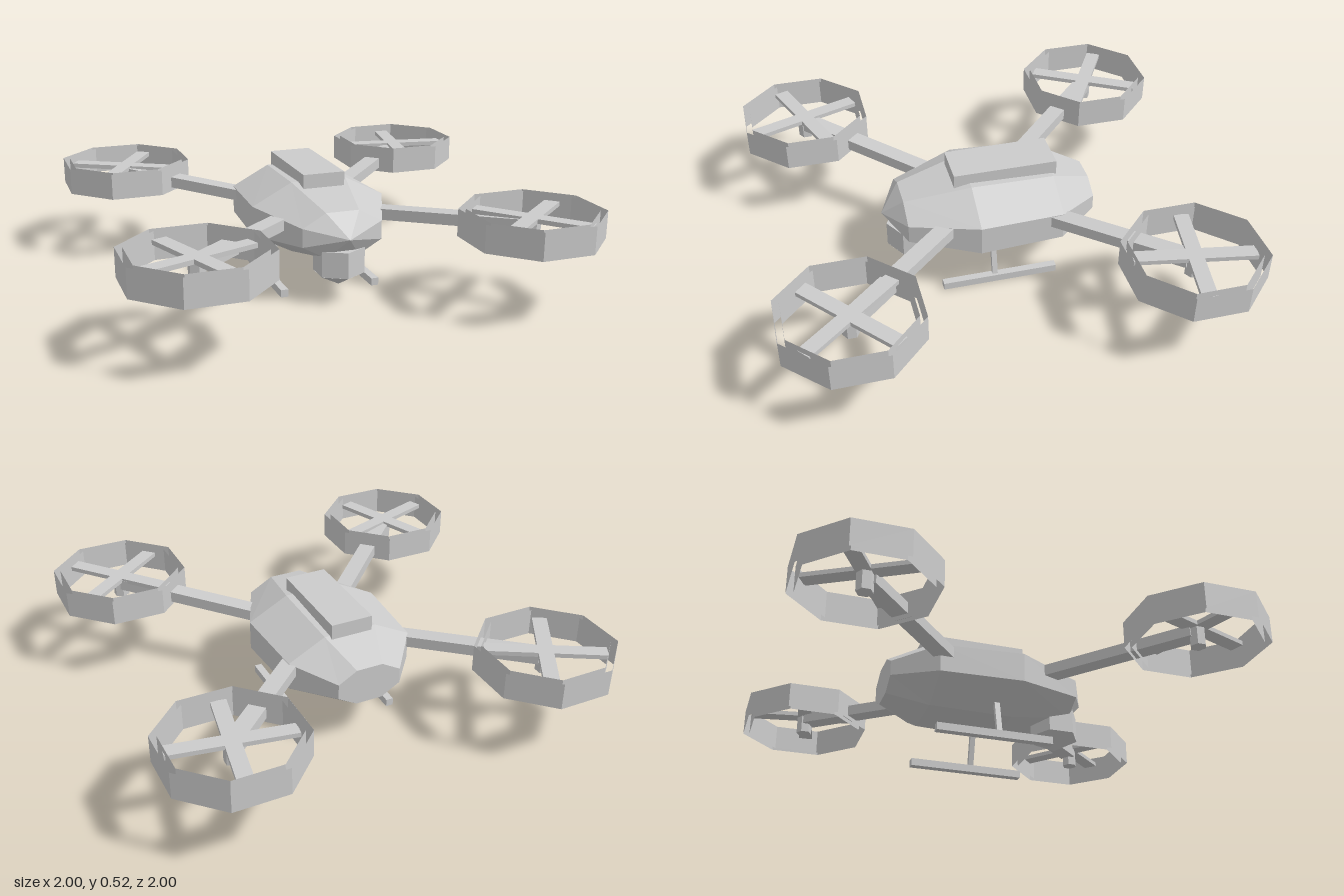
import * as THREE from 'three';

const material = new THREE.MeshStandardMaterial({ color: 0xcccccc, flatShading: true });
const thin = new THREE.MeshStandardMaterial({ color: 0xcccccc, flatShading: true, side: THREE.DoubleSide });

function part(name, geometry, x = 0, y = 0, z = 0, mat = material) {
  const mesh = new THREE.Mesh(geometry, mat);
  mesh.name = name;
  mesh.position.set(x, y, z);
  return mesh;
}

// Box running between two points
function beam(name, from, to, width, height) {
  const mesh = part(name, new THREE.BoxGeometry(width, height, from.distanceTo(to)));
  mesh.position.copy(from).add(to).multiplyScalar(0.5);
  mesh.lookAt(to);
  return mesh;
}

// Octagonal hull lofted through sections [z, half width, half height, centre y]
function hullGeometry() {
  const sections = [
    [-0.475, 0, 0, 0.3],
    [-0.475, 0.145, 0.083, 0.3],
    [-0.29, 0.288, 0.15, 0.31],
    [0.085, 0.308, 0.16, 0.312],
    [0.38, 0.18, 0.1, 0.31],
    [0.47, 0, 0, 0.31],
  ];
  const sides = 8;
  const k = 1 / Math.cos(Math.PI / sides);
  const positions = [];
  const index = [];
  for (const [z, w, h, y] of sections) {
    for (let i = 0; i < sides; i++) {
      const a = ((i + 0.5) / sides) * Math.PI * 2;
      positions.push(Math.cos(a) * w * k, y + Math.sin(a) * h * k, z);
    }
  }
  for (let s = 0; s < sections.length - 1; s++) {
    for (let i = 0; i < sides; i++) {
      const a = s * sides + i;
      const b = s * sides + ((i + 1) % sides);
      if (s > 0) index.push(a, b, b + sides);
      if (s < sections.length - 2) index.push(a, b + sides, a + sides);
      if (s === 0) index.push(a, b + sides, a + sides);
    }
  }
  const geometry = new THREE.BufferGeometry();
  geometry.setAttribute('position', new THREE.Float32BufferAttribute(positions, 3));
  geometry.setIndex(index);
  geometry.computeVertexNormals();
  return geometry;
}

// Ducted rotor: open double-walled ring, hub and crossed blades
function rotor(name, angle) {
  const group = new THREE.Group();
  group.name = name;
  for (const [wall, radius] of [['ductOuterWall', 0.308], ['ductInnerWall', 0.277]]) {
    const geometry = new THREE.CylinderGeometry(radius, radius, 0.12, 8, 1, true).rotateY(Math.PI / 8);
    group.add(part(wall, geometry, 0, 0.38, 0, thin));
  }
  group.add(part('hub', new THREE.CylinderGeometry(0.036, 0.036, 0.09, 6), 0, 0.355, 0));
  for (const turn of [0, Math.PI / 2]) {
    const blade = part('blade', new THREE.BoxGeometry(0.52, 0.02, 0.066), 0, 0.402, 0);
    blade.rotation.y = THREE.MathUtils.degToRad(angle) + turn;
    group.add(blade);
  }
  return group;
}

export function createModel() {
  const model = new THREE.Group();
  model.name = 'quadcopter';

  // Hull and battery
  model.add(part('hull', hullGeometry()));
  model.add(part('batteryPack', new THREE.BoxGeometry(0.19, 0.07, 0.465), 0, 0.485, -0.077));

  // Camera pod under the nose
  model.add(part('cameraPod', new THREE.CylinderGeometry(0.113, 0.113, 0.115, 6), 0, 0.188, 0.337));
  model.add(part('cameraLens', new THREE.ConeGeometry(0.113, 0.06, 6).rotateZ(Math.PI), 0, 0.1, 0.337));

  // Arms and rotors at the four corners
  const corners = [
    ['frontRight', -1, 1, 20],
    ['frontLeft', 1, 1, 40],
    ['backRight', -1, -1, 60],
    ['backLeft', 1, -1, 80],
  ];
  for (const [name, sx, sz, angle] of corners) {
    const inner = new THREE.Vector3(0.228 * sx, 0.34, 0.222 * sz);
    const outer = new THREE.Vector3(0.7 * sx, 0.378, 0.7 * sz);
    model.add(beam(name + 'Arm', inner, outer, 0.076, 0.05));
    const unit = rotor(name + 'Rotor', angle);
    unit.position.set(0.714 * sx, 0, 0.714 * sz);
    model.add(unit);
  }

  // Landing gear
  for (const side of [-1, 1]) {
    const top = new THREE.Vector3(0.172 * side, 0.2, 0);
    const foot = new THREE.Vector3(0.212 * side, 0.02, 0);
    model.add(beam('landingStrut', top, foot, 0.024, 0.02));
    model.add(part('landingSkid', new THREE.BoxGeometry(0.034, 0.034, 0.525), 0.214 * side, 0.017, -0.022));
  }
  return model;
}
